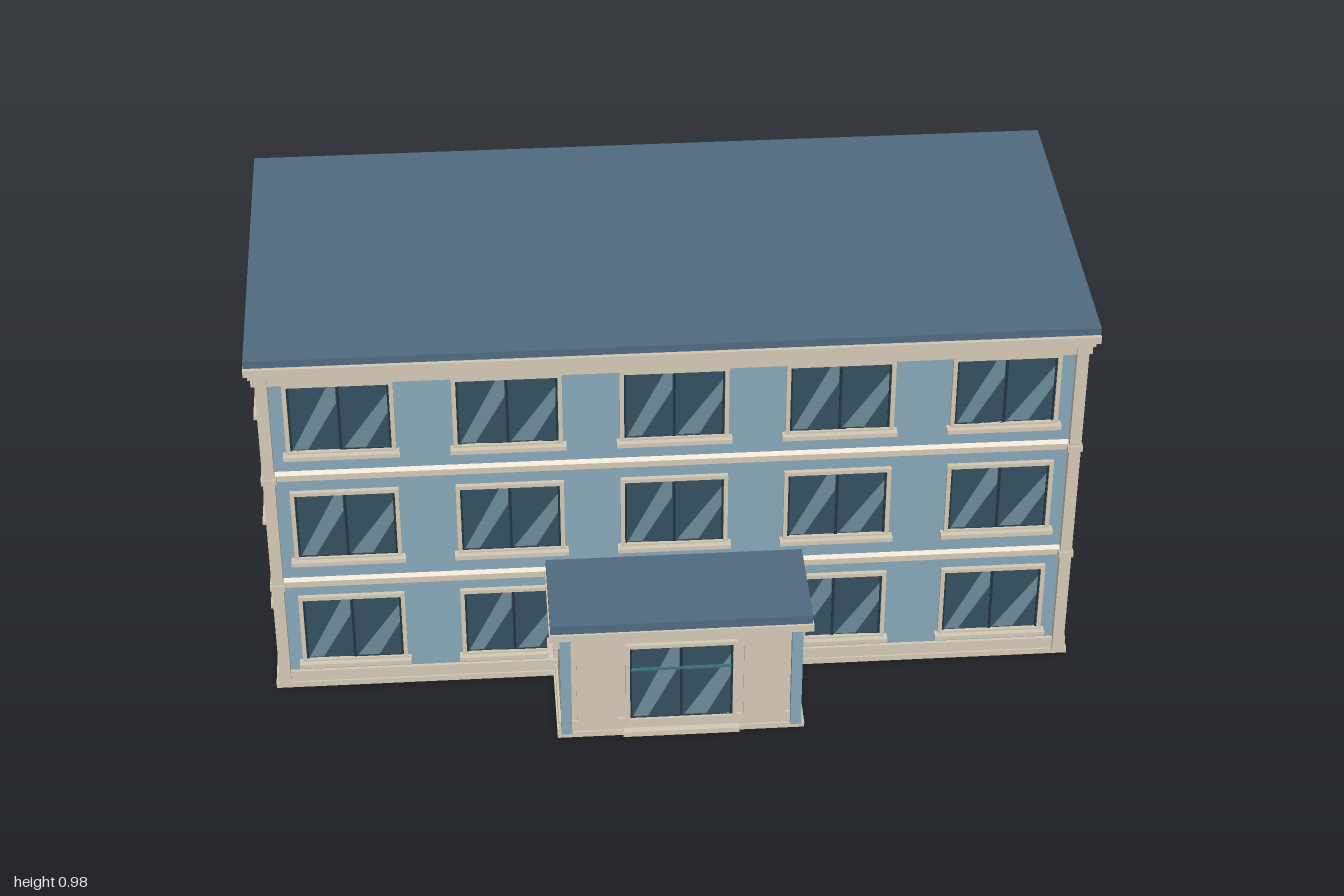
import * as THREE from 'three';

const material = (color, side = THREE.FrontSide) => new THREE.MeshStandardMaterial({ color, side, flatShading: true });
const WALL = material(0x87a7b9), CREAM = material(0xd4c9b5), ROOF = material(0x506a80);
const GLASS = material(0x34505f), SHINE = material(0x6b8b98, THREE.DoubleSide);
const DARK = material(0x22343e), TEAL = material(0x3a7480);

// Box given by its limits; the top can be drawn in by a bevel
function block(parent, name, mat, [x0, x1], [y0, y1], [z0, z1], bevel = 0) {
  const w = x1 - x0, h = y1 - y0, d = z1 - z0;
  const geo = new THREE.BoxGeometry(w, h, d);
  if (bevel) {
    const p = geo.attributes.position;
    for (let i = 0; i < p.count; i++) {
      if (p.getY(i) > 0) {
        p.setX(i, p.getX(i) * (1 - 2 * bevel / w));
        p.setZ(i, p.getZ(i) * (1 - 2 * bevel / d));
      }
    }
    geo.computeVertexNormals();
  }
  const mesh = new THREE.Mesh(geo, mat);
  mesh.name = name;
  mesh.position.set((x0 + x1) / 2, (y0 + y1) / 2, (z0 + z1) / 2);
  parent.add(mesh);
  return mesh;
}

function polygon(points) {
  return new THREE.Shape(points.map(([x, y]) => new THREE.Vector2(x, y)));
}

// Flat border around an opening of w x h, standing on y = 0
function border(parent, name, mat, w, h, t, depth) {
  const shape = polygon([[-w / 2 - t, -t], [w / 2 + t, -t], [w / 2 + t, h + t], [-w / 2 - t, h + t]]);
  shape.holes.push(polygon([[-w / 2, 0], [-w / 2, h], [w / 2, h], [w / 2, 0]]));
  const mesh = new THREE.Mesh(new THREE.ExtrudeGeometry(shape, { depth, bevelEnabled: false }), mat);
  mesh.name = name;
  parent.add(mesh);
}

// Glass, two panes with slanted reflections, and surround; faces +z from z = 0
function glazing(name, w, h) {
  const g = new THREE.Group();
  g.name = name;
  block(g, 'glass', GLASS, [-w / 2, w / 2], [0, h], [-0.01, 0.002]);
  block(g, 'mullion', DARK, [-0.003, 0.003], [0, h], [0, 0.005]);
  border(g, 'sash', DARK, w - 0.01, h, 0.005, 0.005);
  border(g, 'surround', CREAM, w, h, 0.01, 0.011);
  const pw = w / 2 - 0.01;
  const stripes = [
    [-w / 4, [[0, 0.12], [0, 0.62], [0.3, 1], [0.3, 1]], 0],
    [-w / 4, [[0.02, 0.02], [0.34, 0.02], [1, 0.72], [1, 0.98], [0.82, 0.98]], 1],
    [w / 4, [[0.02, 0.02], [0.5, 0.02], [1, 0.55], [1, 0.85]], 1],
  ];
  for (const [cx, pts, use] of stripes) {
    if (!use) continue;
    const s = polygon(pts.map(([u, v]) => [cx + (u - 0.5) * pw, v * h]));
    const m = new THREE.Mesh(new THREE.ShapeGeometry(s), SHINE);
    m.name = 'reflection';
    m.position.z = 0.0035;
    g.add(m);
  }
  return g;
}

function windowUnit(w, h) {
  const g = glazing('window', w, h);
  block(g, 'sill', CREAM, [-w / 2 - 0.018, w / 2 + 0.018], [-0.016, -0.005], [0, 0.024]);
  return g;
}

function place(parent, unit, x, y, z, turn = 0) {
  unit.position.set(x, y, z);
  unit.rotation.y = turn;
  parent.add(unit);
}

export function createModel() {
  const model = new THREE.Group();
  model.name = 'building';
  const X = 0.965, BACK = -0.55, FRONT = 0.312;
  const ring = (name, mat, out, y0, y1, bevel) =>
    block(model, name, mat, [-X - out, X + out], [y0, y1], [BACK - out, FRONT + out], bevel);

  // Main body with its horizontal mouldings
  block(model, 'walls', WALL, [-X, X], [0.005, 0.955], [BACK, FRONT]);
  ring('footing', CREAM, 0.012, 0, 0.015);
  ring('plinth', CREAM, 0.008, 0.015, 0.046);
  for (const y of [0.305, 0.62]) {
    ring('floorBand', CREAM, 0.007, y, y + 0.016);
    ring('floorBandSlope', CREAM, 0.007, y + 0.016, y + 0.025, 0.007);
  }
  ring('frieze', CREAM, 0.012, 0.895, 0.922);
  ring('bedMoulding', CREAM, 0.018, 0.918, 0.932);
  ring('cornice', CREAM, 0.027, 0.932, 0.951);
  ring('corniceTop', CREAM, 0.019, 0.951, 0.956);
  ring('roof', ROOF, 0.025, 0.956, 0.975);

  // Front corner pilasters with small blocks at each band
  for (const s of [-1, 1]) {
    const x = s * (X - 0.011);
    block(model, 'pilaster', CREAM, [x - 0.014, x + 0.014], [0.015, 0.92], [FRONT - 0.001, 0.33]);
    for (const y of [0.305, 0.62]) {
      block(model, 'pilasterBlock', CREAM, [x - 0.018, x + 0.018], [y, y + 0.016], [FRONT - 0.005, 0.333]);
    }
  }

  // Front windows
  const floors = [0.083, 0.395, 0.705];
  for (const y of floors) {
    for (let i = -2; i <= 2; i++) {
      if (y < 0.1 && i === 0) continue;
      place(model, windowUnit(0.236, 0.182), i * 0.39, y, FRONT);
    }
  }

  // Side and back windows
  const upper = [0.4, 0.711];
  for (const s of [-1, 1]) {
    for (const y of upper) {
      for (const z of [0.098, -0.118, -0.335]) place(model, windowUnit(0.106, 0.165), s * X, y, z, s * Math.PI / 2);
      place(model, windowUnit(0.106, 0.165), s * 0.32, y, BACK, Math.PI);
    }
    place(model, windowUnit(0.106, 0.152), s * X, 0.117, s > 0 ? -0.305 : 0.065, s * Math.PI / 2);
  }

  // Back door
  const backDoor = glazing('backDoor', 0.084, 0.238);
  block(backDoor, 'doorRail', TEAL, [-0.042, 0.042], [0.165, 0.172], [0, 0.006]);
  block(backDoor, 'doorEdge', TEAL, [-0.042, -0.034], [0, 0.238], [0, 0.007]);
  block(backDoor, 'doorEdge', TEAL, [0.034, 0.042], [0, 0.238], [0, 0.007]);
  block(backDoor, 'step', CREAM, [-0.065, 0.065], [-0.02, -0.01], [0, 0.022]);
  place(model, backDoor, 0.046, 0.025, BACK, Math.PI);

  // Entrance porch
  const porch = new THREE.Group();
  porch.name = 'porch';
  model.add(porch);
  const PX = 0.288, PZ = 0.55;
  const tier = (name, mat, out, y0, y1) =>
    block(porch, name, mat, [-PX - out, PX + out], [y0, y1], [0.3, PZ + out]);
  tier('porchWalls', CREAM, 0, 0.005, 0.325);
  tier('porchFooting', CREAM, 0.01, 0, 0.015);
  tier('porchPlinth', CREAM, 0.006, 0.015, 0.046);
  tier('porchFrieze', CREAM, 0.006, 0.272, 0.3);
  tier('porchMoulding', CREAM, 0.014, 0.296, 0.306);
  tier('porchCornice', CREAM, 0.025, 0.306, 0.325);
  tier('porchRoof', ROOF, 0.022, 0.327, 0.35);
  tier('porchRoofBase', DARK, 0.016, 0.324, 0.328);
  for (const s of [-1, 1]) {
    const x = s * (PX - 0.012);
    block(porch, 'porchPilaster', WALL, [x - 0.013, x + 0.013], [0.015, 0.3], [PZ - 0.001, 0.566]);
    place(porch, windowUnit(0.106, 0.152), s * PX, 0.117, 0.332, s * Math.PI / 2);
    block(porch, 'frontPanel', CREAM, [s * 0.2 - 0.05, s * 0.2 + 0.05], [0.046, 0.272], [PZ - 0.001, 0.556]);
  }
  // Glazed entrance
  const entrance = glazing('entrance', 0.246, 0.216);
  block(entrance, 'transom', TEAL, [-0.12, 0.12], [0.146, 0.152], [0, 0.007]);
  place(porch, entrance, 0, 0.052, 0.555);
  block(porch, 'entranceStep', CREAM, [-0.14, 0.14], [0.004, 0.018], [0.54, 0.573]);
  return model;
}
